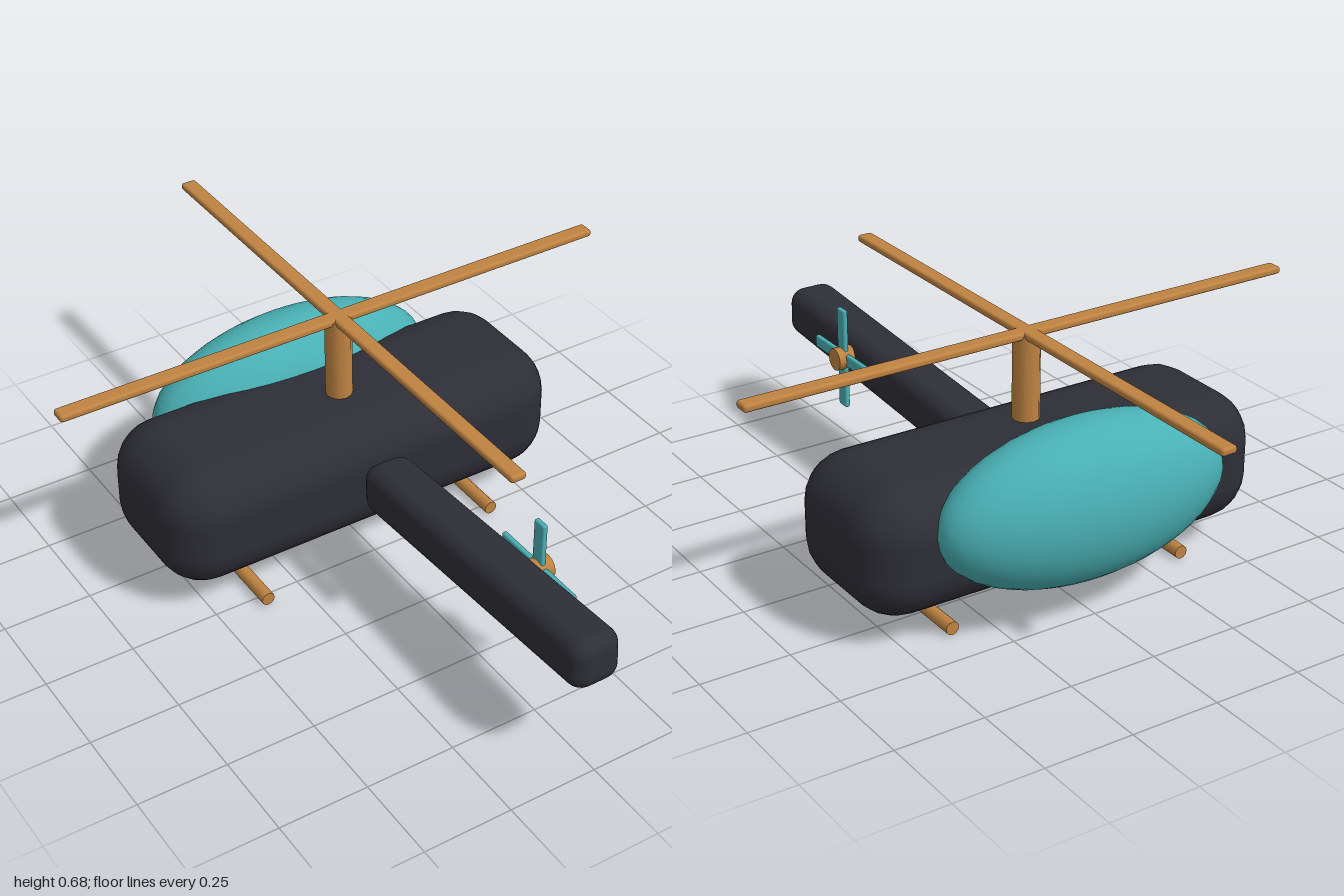
import * as THREE from 'three';
import { RoundedBoxGeometry } from 'three/addons/geometries/RoundedBoxGeometry.js';

const mat = (name, color) => {
  const m = new THREE.MeshStandardMaterial({ color });
  m.name = name;
  return m;
};

export function createModel() {
  const charcoal = mat('charcoal', 0x2e2e37);
  const teal = mat('teal', 0x49b0b4);
  const wood = mat('wood', 0xbf8341);

  const model = new THREE.Group();
  model.name = 'helicopter';

  const add = (name, geometry, material, x, y, z, parent = model) => {
    const mesh = new THREE.Mesh(geometry, material);
    mesh.name = name;
    mesh.position.set(x, y, z);
    parent.add(mesh);
    return mesh;
  };
  const box = (w, h, d, r, seg = 2) => new RoundedBoxGeometry(w, h, d, seg, r);
  const group = (name, x, y, z) => {
    const g = new THREE.Group();
    g.name = name;
    g.position.set(x, y, z);
    model.add(g);
    return g;
  };

  // Wide rounded fuselage and the bubble set into its back
  add('fuselage', box(1.21, 0.365, 0.45, 0.135, 3), charcoal, 0, 0.248, -0.205);
  add('canopy', new THREE.SphereGeometry(1, 32, 20), teal, 0, 0.31, -0.44)
    .scale.set(0.43, 0.22, 0.168);

  // Tail boom, rising gently away from the body
  add('tailBoom', box(0.144, 0.146, 0.957, 0.045, 3), charcoal, 0, 0.31, 0.517)
    .rotation.x = -0.068;

  // Mast and crossed main rotor blades
  add('mast', new THREE.CylinderGeometry(0.037, 0.037, 0.26, 12), wood, 0, 0.54, -0.178);
  const rotor = group('mainRotor', 0, 0.669, -0.18);
  add('rotorBladeAcross', box(1.635, 0.021, 0.045, 0.008), wood, 0, 0, 0, rotor);
  add('rotorBladeLong', box(0.045, 0.021, 1.64, 0.008), wood, 0, 0, 0, rotor);

  // Tail rotor on the left side of the boom
  const tailRotor = group('tailRotor', 0.093, 0.328, 0.615);
  add('tailRotorHub', new THREE.CylinderGeometry(0.033, 0.033, 0.058, 12), wood, 0, 0, 0, tailRotor)
    .rotation.z = Math.PI / 2;
  add('tailBladeUpright', box(0.015, 0.3, 0.04, 0.005), teal, 0, 0, 0, tailRotor);
  add('tailBladeLevel', box(0.015, 0.036, 0.3, 0.005), teal, 0, 0, 0, tailRotor);

  // Landing skids with slanted struts
  for (const side of [1, -1]) {
    const name = side > 0 ? 'left' : 'right';
    add(name + 'Skid', new THREE.CylinderGeometry(0.019, 0.019, 0.43, 12), wood, side * 0.362, 0.019, -0.175)
      .rotation.x = Math.PI / 2;
    add(name + 'Strut', new THREE.CylinderGeometry(0.022, 0.022, 0.17, 12), wood, side * 0.362, 0.077, -0.193)
      .rotation.x = -1.1;
  }

  return model;
}
